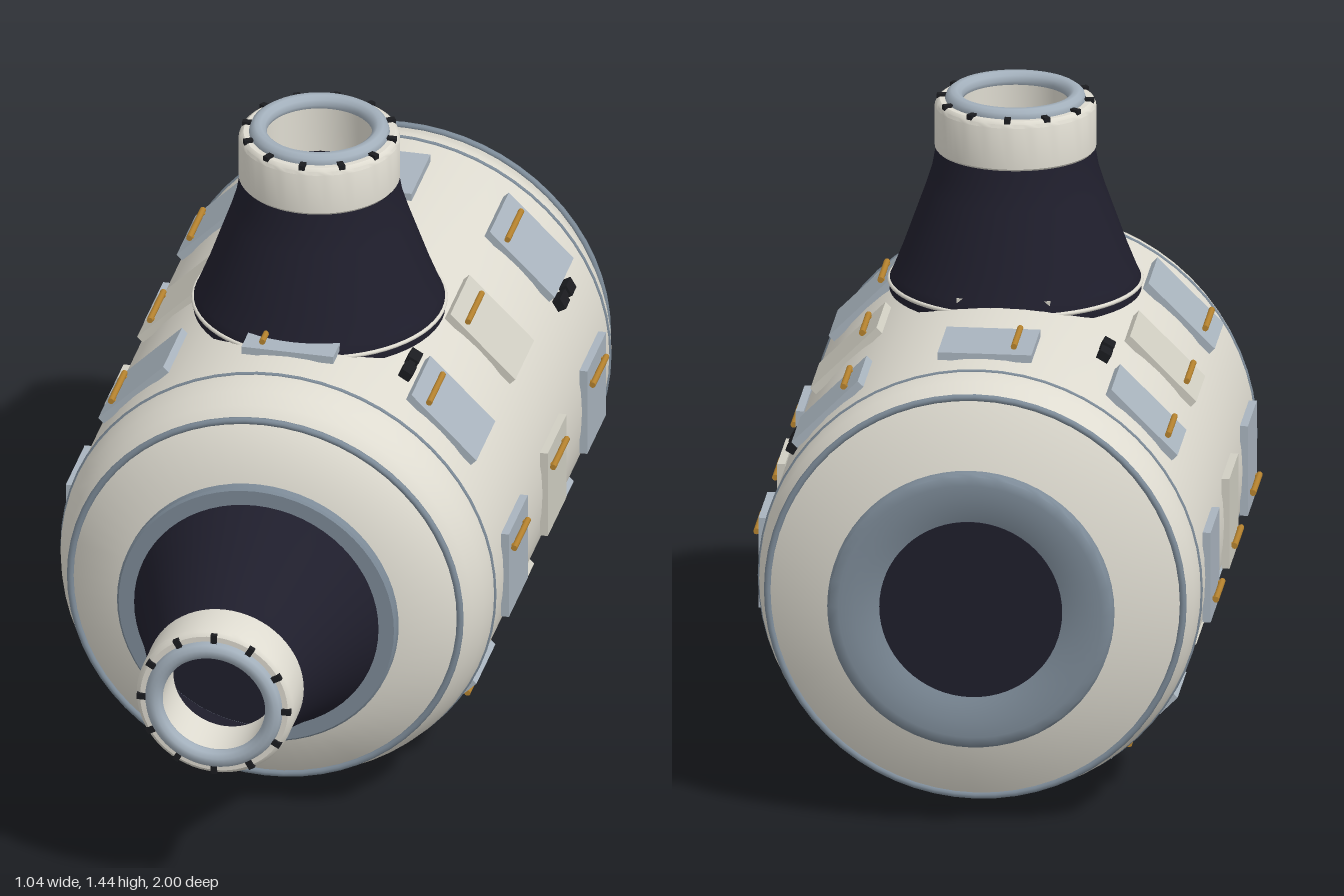
import * as THREE from 'three';
import { toCreasedNormals } from 'three/addons/utils/BufferGeometryUtils.js';

const AXIS_Y = 0.525; // height of the hull axis
const RADIUS = 0.495;

function material(name, color, side = THREE.FrontSide) {
  const m = new THREE.MeshStandardMaterial({ color, side });
  m.name = name;
  return m;
}

export function createModel() {
  const cream = material('cream hull', 0xdedbd0);
  const creamPanel = material('cream panel', 0xd0cec2);
  const bluePanel = material('blue grey panel', 0xa9b4be);
  const steel = material('steel trim', 0x7d8b98);
  const paleSteel = material('pale steel', 0xa3b0bc);
  const navy = material('dark navy', 0x1f1e2c, THREE.DoubleSide);
  const gold = material('gold handle', 0xb5822e);
  const black = material('black fitting', 0x1b1c20);

  const model = new THREE.Group();
  model.name = 'stationModule';

  function add(parent, name, geometry, mat, x = 0, y = 0, z = 0) {
    const mesh = new THREE.Mesh(geometry, mat);
    mesh.name = name;
    mesh.position.set(x, y, z);
    parent.add(mesh);
    return mesh;
  }
  // Profile of [radius, height] pairs, with sharp corners kept
  function lathe(points, crease = 0.6) {
    const profile = points.map(([r, h]) => new THREE.Vector2(r, h));
    return toCreasedNormals(new THREE.LatheGeometry(profile, 64), crease);
  }
  // Horizontal ring around the local y axis
  function ring(radius, tube) {
    return new THREE.TorusGeometry(radius, tube, 10, 64).rotateX(Math.PI / 2);
  }

  // Hull group: local y runs along the model's z
  const hull = new THREE.Group();
  hull.name = 'hull';
  hull.position.y = AXIS_Y;
  hull.rotation.x = Math.PI / 2;
  model.add(hull);

  add(hull, 'pressureHull', lathe([
    [0, -0.965], [0.315, -0.965], [0.46, -0.89], [0.485, -0.835], [0.493, -0.81],
    [RADIUS, -0.785], [RADIUS, 0.345], [0.493, 0.37], [0.483, 0.405], [0.466, 0.44],
    [0.44, 0.475], [0.315, 0.54], [0, 0.54],
  ]), cream);

  // Seam rings
  for (const [r, h, tube] of [[0.494, 0.345, 0.005], [0.494, -0.785, 0.005],
    [0.446, 0.475, 0.008], [0.466, -0.888, 0.008]]) {
    add(hull, 'seamRing', ring(r, tube), steel, 0, h, 0);
  }

  // Front collar ring and rear berthing ring
  add(hull, 'frontRing', lathe([
    [0.27, 0.53], [0.315, 0.53], [0.32, 0.536], [0.32, 0.558], [0.315, 0.563], [0.27, 0.563],
  ]), steel);
  add(hull, 'rearRing', lathe([
    [0.2, -0.98], [0.225, -0.99], [0.26, -0.997], [0.295, -1.0], [0.315, -0.997],
    [0.321, -0.99], [0.321, -0.97], [0.3, -0.965],
  ], 1), steel);
  add(hull, 'rearHatch', new THREE.CylinderGeometry(0.205, 0.205, 0.02, 64), navy, 0, -0.974, 0);

  // Docking port, built upward along local y
  function dockingPort(name) {
    const port = new THREE.Group();
    port.name = name;
    add(port, 'adapterCone', lathe([
      [0.281, 0], [0.281, 0.025], [0.272, 0.045], [0.25, 0.1], [0.225, 0.17],
      [0.2, 0.24], [0.186, 0.285], [0.178, 0.33],
    ]), navy);
    add(port, 'coneBaseRing', ring(0.281, 0.005), cream, 0, 0.022, 0);
    add(port, 'portCollar', lathe([
      [0.12, 0.328], [0.175, 0.328], [0.18, 0.334], [0.18, 0.43], [0.177, 0.438],
      [0.169, 0.444], [0.12, 0.444], [0.12, 0.328],
    ]), cream);
    add(port, 'portRing', ring(0.137, 0.02), paleSteel, 0, 0.445, 0);
    // Twelve latches around the mouth
    for (let i = 0; i < 12; i++) {
      const a = (i * Math.PI) / 6;
      const latch = add(port, 'portLatch', new THREE.BoxGeometry(0.024, 0.014, 0.014), black,
        Math.cos(a) * 0.164, 0.443, Math.sin(a) * 0.164);
      latch.rotation.y = -a;
    }
    return port;
  }

  const frontPort = dockingPort('frontPort');
  frontPort.position.set(0, AXIS_Y, 0.535);
  frontPort.rotation.x = Math.PI / 2;
  add(frontPort, 'frontHatch', new THREE.CylinderGeometry(0.275, 0.275, 0.01, 64), navy, 0, 0.03, 0);
  const topPort = dockingPort('topPort');
  topPort.position.set(0, 0.98, -0.057);
  model.add(frontPort, topPort);

  // Frame on the hull side: local x points outward, y runs around, z along the hull
  function sideFrame(name, angle) {
    const frame = new THREE.Group();
    frame.name = name;
    frame.position.y = AXIS_Y;
    frame.rotation.z = angle;
    model.add(frame);
    return frame;
  }

  // Eight rows of access panels with handles
  const panelGeometry = new THREE.BoxGeometry(0.018, 0.21, 0.186);
  const barGeometry = new THREE.CylinderGeometry(0.007, 0.007, 0.136, 10).rotateX(Math.PI / 2);
  const postGeometry = new THREE.BoxGeometry(0.012, 0.008, 0.008);
  for (let i = 0; i < 8; i++) {
    const row = sideFrame('panelRow', (i * Math.PI) / 4);
    [0.165, -0.217, -0.605].forEach((z, k) => {
      add(row, 'accessPanel', panelGeometry, k === 1 ? creamPanel : bluePanel, 0.498, 0, z);
      add(row, 'handle', barGeometry, gold, 0.515, 0.062, z + 0.008);
      for (const s of [-1, 1]) {
        add(row, 'handlePost', postGeometry, gold, 0.508, 0.062, z + 0.008 + s * 0.055);
      }
    });
  }

  // Small black external fittings
  for (const [degrees, z] of [[30, -0.587], [60, 0.13], [119, -0.44]]) {
    const fitting = sideFrame('hullFitting', THREE.MathUtils.degToRad(degrees));
    add(fitting, 'fittingBase', new THREE.BoxGeometry(0.018, 0.016, 0.1), black, 0.5, 0, z);
    for (const s of [-1, 1]) {
      add(fitting, 'fittingBlock', new THREE.BoxGeometry(0.026, 0.028, 0.042), black, 0.502, 0, z + s * 0.031);
    }
  }

  return model;
}
